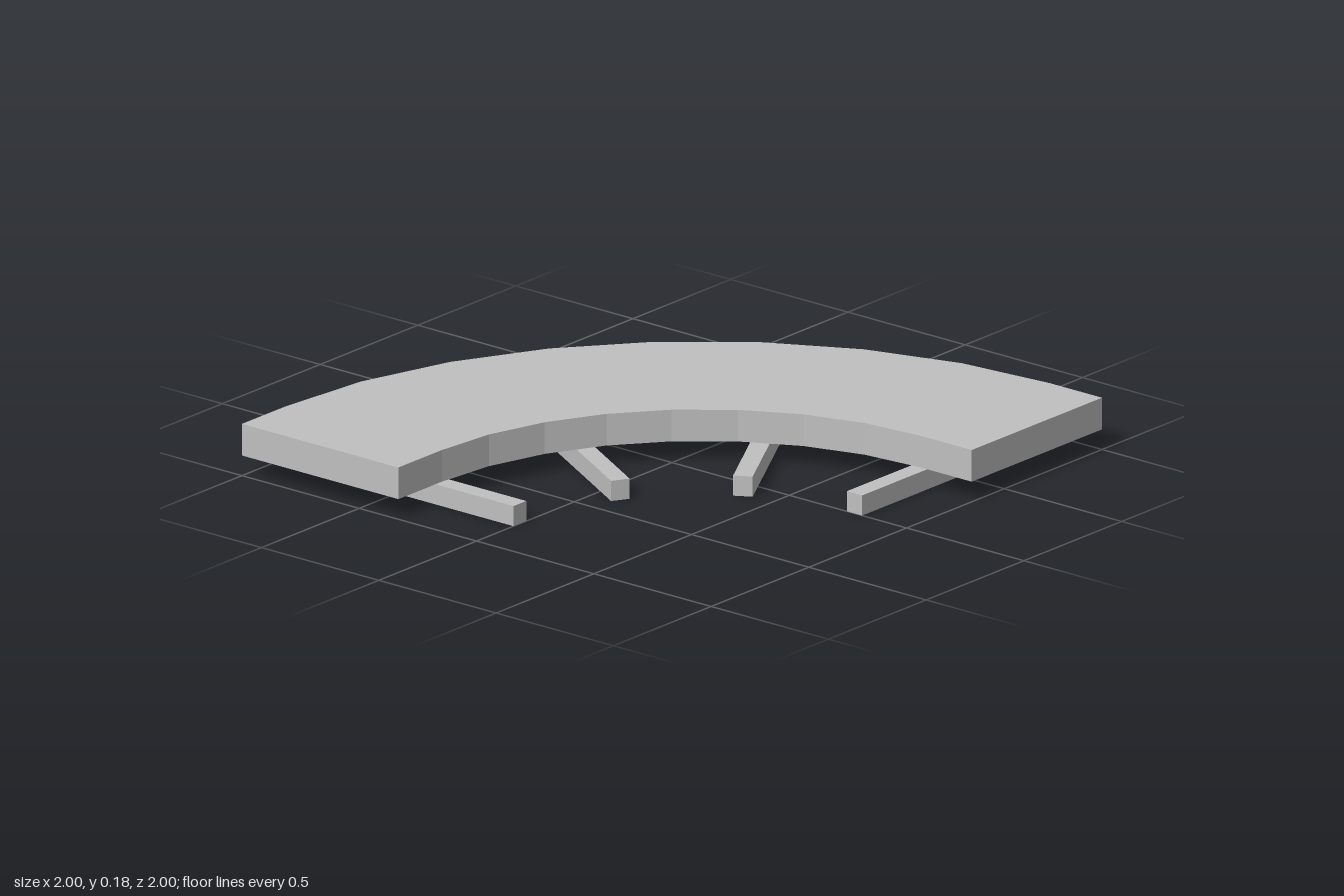
import * as THREE from 'three';

const CENTRE = 0.778;        // arc centre lies at x = -CENTRE, z = +CENTRE
const OUTER = 1.778, INNER = 1.111;
const SEGMENTS = 8;
const BEAM_HEIGHT = 0.07, SLAB_HEIGHT = 0.11;

// Points of a quarter arc in plan, where plan y is -z
function quarterArc(radius) {
  return Array.from({ length: SEGMENTS + 1 }, (_, i) => {
    const a = (i / SEGMENTS) * Math.PI / 2;
    return new THREE.Vector2(-CENTRE + radius * Math.sin(a), -CENTRE + radius * Math.cos(a));
  });
}

export function createModel() {
  const group = new THREE.Group();
  const grey = new THREE.MeshStandardMaterial({ color: 0xc0c0c0 });
  grey.name = 'light grey';

  // Curved slab with a short straight run at both ends
  const outline = [
    new THREE.Vector2(-1, OUTER - CENTRE),
    ...quarterArc(OUTER),
    new THREE.Vector2(OUTER - CENTRE, -1),
    new THREE.Vector2(INNER - CENTRE, -1),
    ...quarterArc(INNER).reverse(),
    new THREE.Vector2(-1, INNER - CENTRE),
  ];
  const slabGeometry = new THREE.ExtrudeGeometry(new THREE.Shape(outline), {
    depth: SLAB_HEIGHT, bevelEnabled: false,
  });
  slabGeometry.rotateX(-Math.PI / 2);
  const slab = new THREE.Mesh(slabGeometry, grey);
  slab.name = 'curvedSlab';
  slab.position.y = BEAM_HEIGHT;
  group.add(slab);

  // Radial support beams under the slab, reaching inwards past its inner edge
  const beamInner = 0.778, beamLength = 0.667;
  const beamGeometry = new THREE.BoxGeometry(0.065, BEAM_HEIGHT, beamLength);
  beamGeometry.translate(0, BEAM_HEIGHT / 2, -(beamInner + beamLength / 2));
  for (let i = 0; i < 4; i++) {
    const beam = new THREE.Mesh(beamGeometry, grey);
    beam.name = `supportBeam${i + 1}`;
    beam.position.set(-CENTRE, 0, CENTRE);
    beam.rotation.y = -i * Math.PI / 6;
    group.add(beam);
  }
  return group;
}
